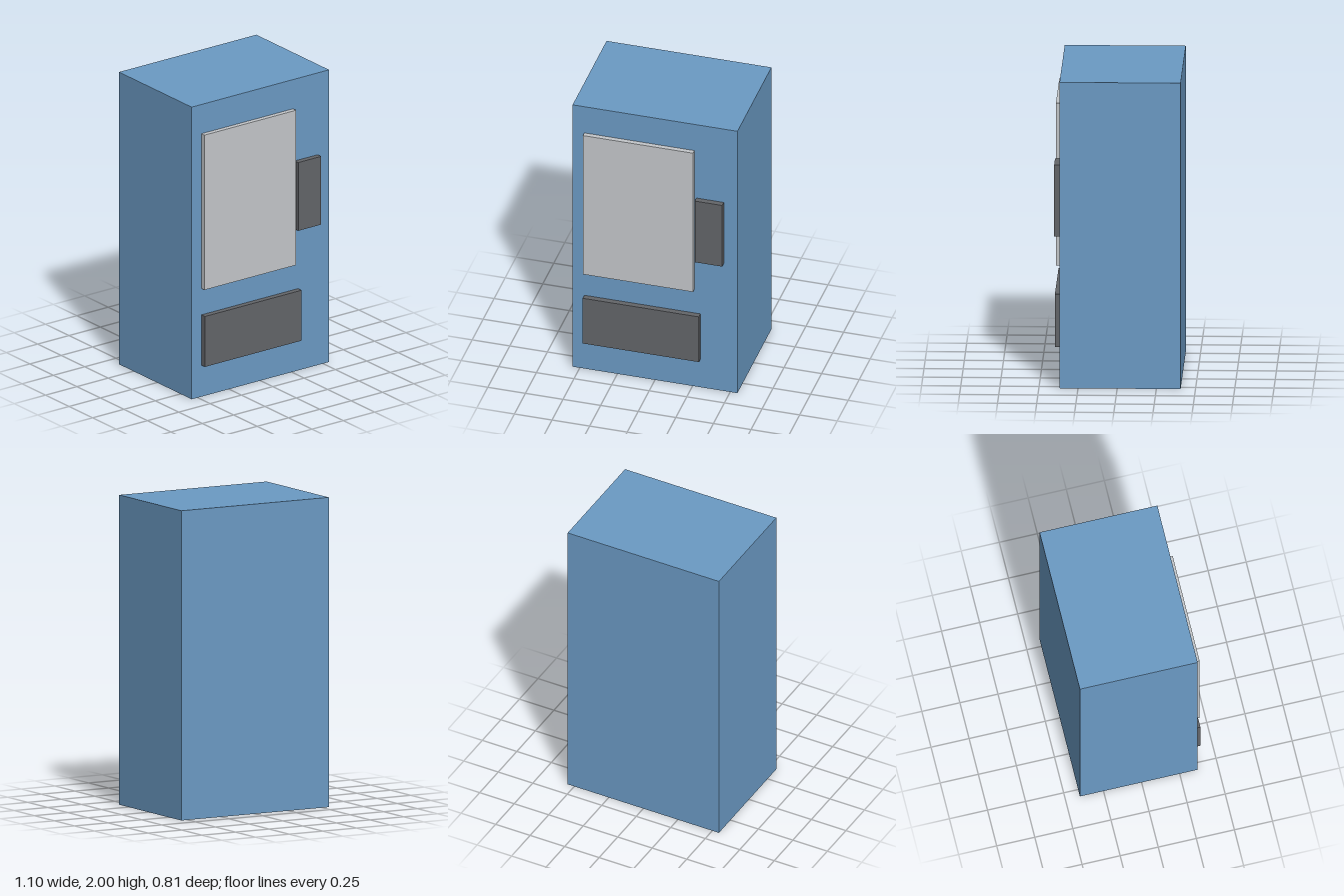
import * as THREE from 'three';

const material = (name, color, side = THREE.FrontSide) => {
  const m = new THREE.MeshStandardMaterial({ color, side });
  m.name = name;
  return m;
};

// Box given by its lower and upper corners
function boxBetween(name, [x0, y0, z0], [x1, y1, z1], mat) {
  const geometry = new THREE.BoxGeometry(x1 - x0, y1 - y0, z1 - z0);
  const mesh = new THREE.Mesh(geometry, mat);
  mesh.position.set((x0 + x1) / 2, (y0 + y1) / 2, (z0 + z1) / 2);
  mesh.name = name;
  return mesh;
}

export function createModel() {
  const blue = material('cabinet blue', 0x6b9ac4, THREE.DoubleSide);
  const grey = material('window grey', 0xc4c7ca);
  const dark = material('panel dark grey', 0x636569);

  const model = new THREE.Group();
  model.name = 'vendingMachine';

  // Cabinet: thin shell, open underneath (bottom face dropped)
  const cabinet = boxBetween('cabinet', [-0.548, 0, -0.405], [0.548, 2, 0.368], blue);
  const index = Array.from(cabinet.geometry.index.array);
  index.splice(18, 6);
  cabinet.geometry.setIndex(index);
  cabinet.geometry.clearGroups();
  model.add(cabinet);

  // Front fittings, each set slightly into the front wall
  const back = 0.35;
  model.add(
    boxBetween('displayWindow', [-0.47, 0.74, back], [0.262, 1.8, 0.4], grey),
    boxBetween('controlPanel', [0.275, 0.973, back], [0.457, 1.44, 0.405], dark),
    boxBetween('dispenserFlap', [-0.47, 0.215, back], [0.302, 0.56, 0.405], dark)
  );
  return model;
}
